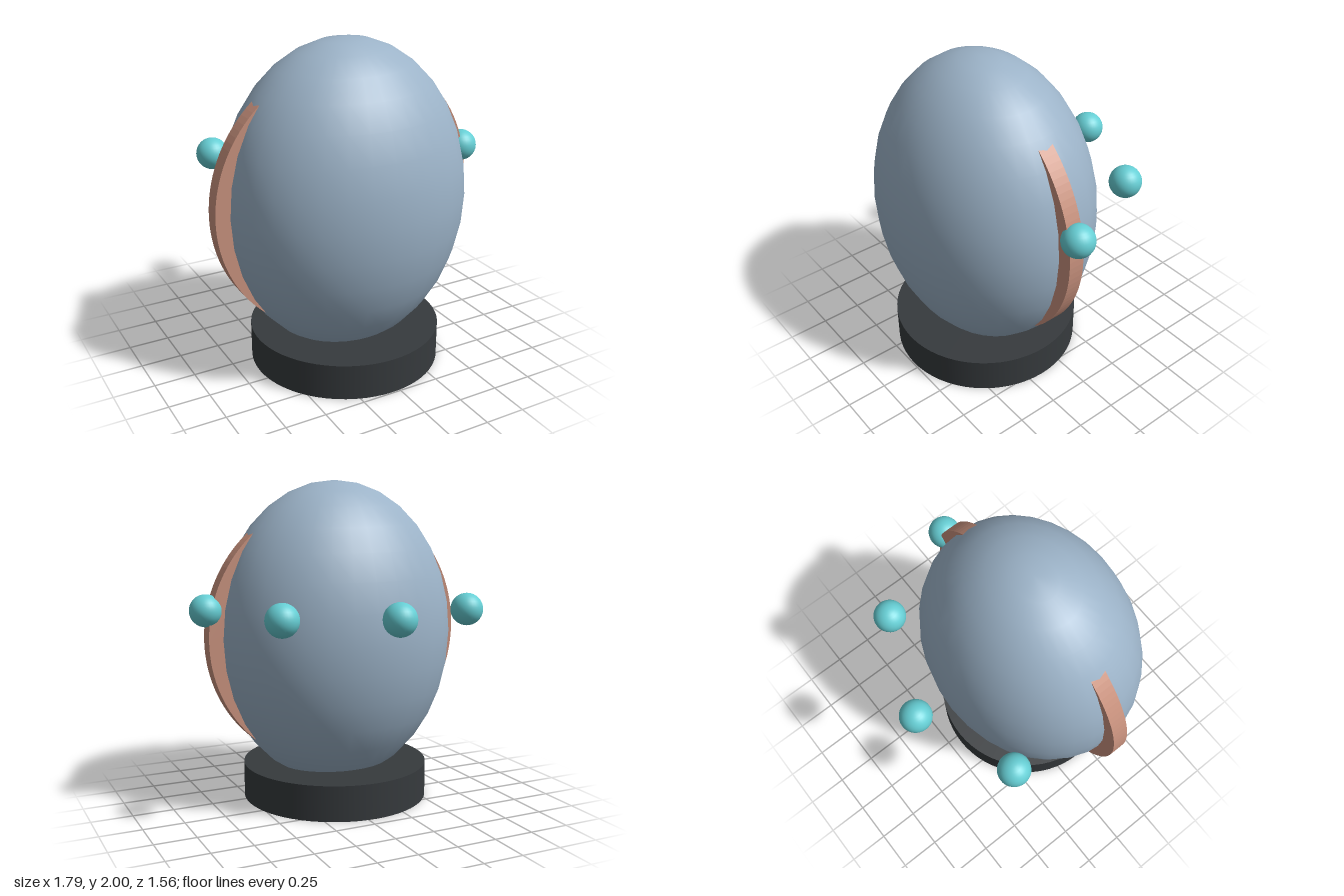
import * as THREE from 'three';

export function createModel() {
  const model = new THREE.Group();
  const mat = (name, color) => {
    const m = new THREE.MeshStandardMaterial({ color });
    m.name = name;
    return m;
  };
  const shellBlue = mat('shellBlue', 0x9cb3c8);
  const copper = mat('copper', 0xc9927e);
  const aqua = mat('aqua', 0x66ced4);
  const charcoal = mat('charcoal', 0x363a3d);

  const add = (name, geometry, material, x = 0, y = 0, z = 0) => {
    const mesh = new THREE.Mesh(geometry, material);
    mesh.name = name;
    mesh.position.set(x, y, z);
    model.add(mesh);
    return mesh;
  };

  // Egg-shaped body
  const body = add('body', new THREE.SphereGeometry(1, 32, 16), shellBlue, 0, 1.05, 0);
  body.scale.set(0.76, 0.95, 0.62);

  // Flat ring band, showing only where it stands out of the body's sides
  const ring = new THREE.Shape().absarc(0, 0, 0.843, 0, Math.PI * 2);
  ring.holes.push(new THREE.Path().absarc(0, 0, 0.7, 0, Math.PI * 2, true));
  const bandGeometry = new THREE.ExtrudeGeometry(ring, {
    depth: 0.1, bevelEnabled: false, curveSegments: 64,
  });
  add('sideBand', bandGeometry, copper, 0, 1.05, -0.05);

  // Round base
  add('base', new THREE.CylinderGeometry(0.585, 0.585, 0.22, 64), charcoal, 0, 0.11, 0);

  // Orbiting beads, from the left side round to the back right
  const beadGeometry = new THREE.SphereGeometry(0.098, 32, 16);
  for (let i = 0; i < 4; i++) {
    const a = (i * Math.PI) / 4;
    add(`bead${i + 1}`, beadGeometry, aqua, 0.845 * Math.cos(a), 1.23, -0.845 * Math.sin(a));
  }

  // Centre the whole on x and z
  model.position.set(-0.05, 0, 0.158);
  const root = new THREE.Group();
  root.name = 'eggOnBase';
  root.add(model);
  return root;
}
